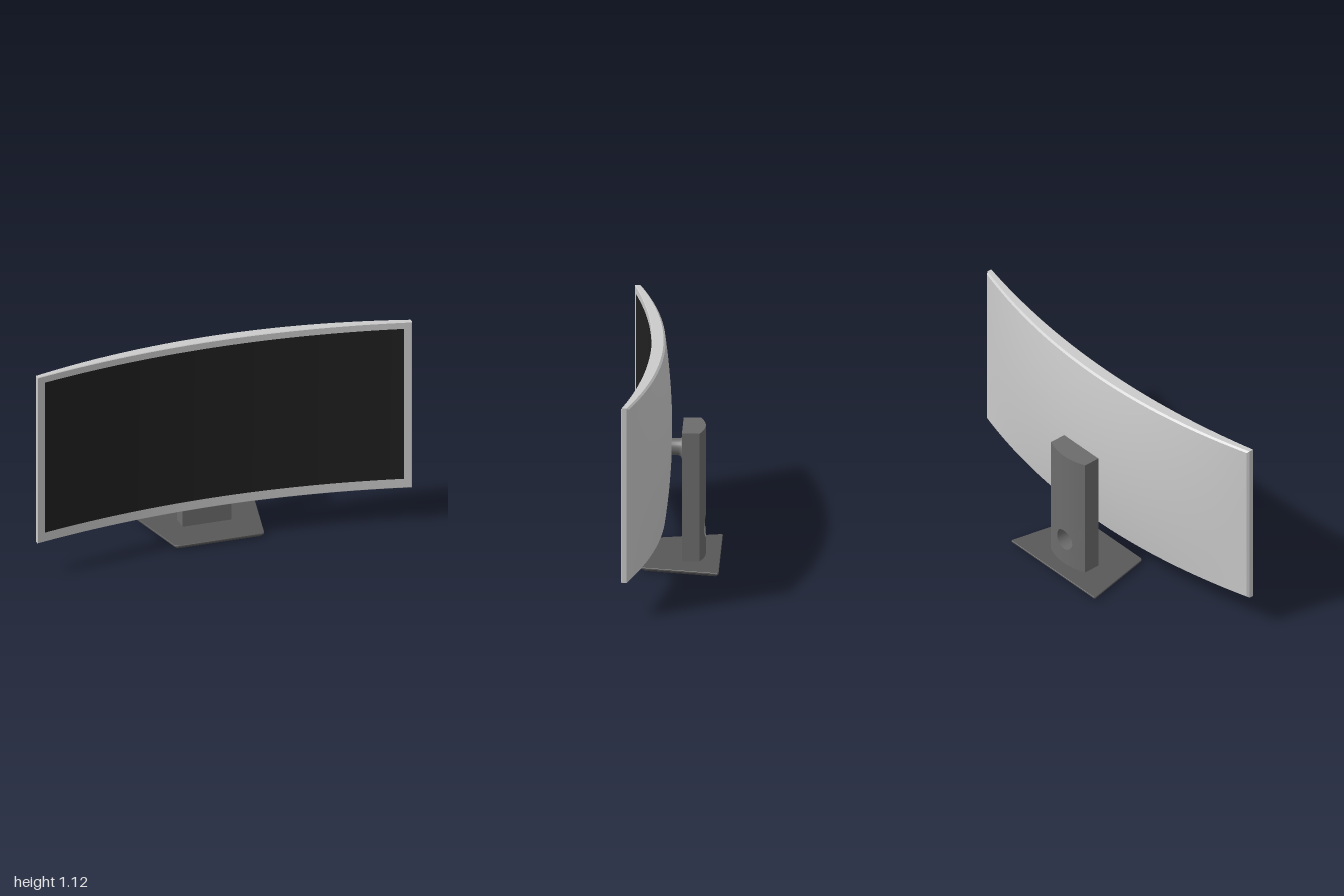
import * as THREE from 'three';
import { toCreasedNormals } from 'three/addons/utils/BufferGeometryUtils.js';

const grey = new THREE.MeshStandardMaterial({ color: 0xcccccc });
const black = new THREE.MeshStandardMaterial({ color: 0x202020 });
const columnGrey = new THREE.MeshStandardMaterial({ color: 0x6c6c6c });
const baseGrey = new THREE.MeshStandardMaterial({ color: 0x585858 });

const MID = 0.652, HALF = 0.463; // centre height and half height of the display

// Curved front and bulging back of the display
const frontZ = (x) => 0.115 + 0.118 * x * x;
const backZ = (x, y) => {
  const v = (y - MID) / HALF;
  return 0.046 + 0.151 * x * x - 0.035 * (1 - x * x) * (1 - v * v);
};

function part(name, geometry, material) {
  const mesh = new THREE.Mesh(geometry, material);
  mesh.name = name;
  return mesh;
}

// Skin over a list of closed rings that all have the same number of points
function loft(rings, crease = 0.5) {
  const n = rings[0].length, index = [];
  for (let i = 0; i < rings.length - 1; i++) {
    for (let j = 0; j < n; j++) {
      const k = (j + 1) % n;
      const a = i * n + j, b = i * n + k, c = a + n, d = b + n;
      index.push(a, b, d, a, d, c);
    }
  }
  const g = new THREE.BufferGeometry();
  g.setAttribute('position', new THREE.Float32BufferAttribute(rings.flat(2), 3));
  g.setIndex(index);
  return toCreasedNormals(g, crease);
}

// Housing: a box bent to the curve, with a small chamfer at front and back
function housing() {
  const g = new THREE.BoxGeometry(2, 2 * HALF, 3, 48, 20, 3);
  const p = g.attributes.position;
  const inset = [0.009, 0, 0, 0.003];
  for (let i = 0; i < p.count; i++) {
    const level = Math.round(p.getZ(i) + 1.5);
    const x = p.getX(i) * (1 - inset[level]);
    const y = MID + p.getY(i) * (1 - inset[level] / HALF);
    const z = [backZ(x, y), backZ(x, y) + 0.009, frontZ(x) - 0.003, frontZ(x)][level];
    p.setXYZ(i, x, y, z);
  }
  return toCreasedNormals(g, 0.5);
}

// Screen: a sheet bent just in front of the housing
function screen() {
  const g = new THREE.PlaneGeometry(1.916, 0.838, 48, 1);
  const p = g.attributes.position;
  for (let i = 0; i < p.count; i++) {
    p.setXYZ(i, p.getX(i), p.getY(i) + 0.66, frontZ(p.getX(i)) + 0.002);
  }
  g.computeVertexNormals();
  return g;
}

// Column: flat front, rounded back and a round cable hole right through
function column() {
  const W = 0.13, HOLE_Y = 0.17, R = 0.057, BOTTOM = 0.02, TOP = 0.7, N = 64;
  const back = (x) => -0.16 + 0.028 * (x / W) ** 2;
  const front = () => -0.044;
  // t: 0 = hole edge, 1 = square around it; stretched = full outline
  const ring = (t, zAt, stretched = false) =>
    Array.from({ length: N }, (_, j) => {
      const a = (j / N) * Math.PI * 2, c = Math.cos(a), s = Math.sin(a);
      const k = W / Math.max(Math.abs(c), Math.abs(s));
      const r = R + (k - R) * t;
      const x = c * r;
      let y = s * r;
      if (stretched) y *= (y > 0 ? TOP - HOLE_Y : HOLE_Y - BOTTOM) / W;
      return [x, HOLE_Y + y, zAt(x)];
    });
  return loft([
    ring(1, back, true), ring(1, front, true),
    ring(1, front), ring(0, front),
    ring(0, back), ring(0.5, back), ring(1, back), ring(1, back, true),
  ]);
}

// Neck: a round arm that flares where it meets the column
function neck() {
  const rows = [ // z, radius x, lowest y, highest y
    [-0.05, 0.062, 0.508, 0.643], [-0.042, 0.055, 0.522, 0.637],
    [-0.035, 0.048, 0.537, 0.633], [-0.025, 0.043, 0.544, 0.631], [0.03, 0.043, 0.545, 0.631],
  ];
  return loft(rows.map(([z, rx, lo, hi]) =>
    Array.from({ length: 32 }, (_, j) => {
      const a = (j / 32) * Math.PI * 2;
      return [rx * Math.cos(a), (lo + hi) / 2 + ((hi - lo) / 2) * Math.sin(a), z];
    })), 0.9);
}

// Base: thin trapezoid plate, wider at the back, with an undercut rim
function base() {
  const right = [[0.226, 0.16], [0.235, 0.155], [0.24, 0.145], [0.319, -0.229], [0.315, -0.235]];
  const outline = [...right, ...right.map(([x, z]) => [-x, z]).reverse()];
  const ring = (inset, y) => outline.map(([x, z]) => [
    x * (1 - inset / 0.28), -0.037 + (z + 0.037) * (1 - inset / 0.198), y,
  ]).map(([x, z, h]) => [x, h, z]);
  const centre = (y) => outline.map(() => [0, y, -0.037]);
  return loft([
    centre(0), ring(0.018, 0), ring(0.012, 0.002), ring(0, 0.014),
    ring(0, 0.02), ring(0.002, 0.022), centre(0.022),
  ], 0.4);
}

export function createModel() {
  const model = new THREE.Group();
  model.name = 'curvedMonitor';

  const display = new THREE.Group();
  display.name = 'display';
  display.add(part('housing', housing(), grey), part('screen', screen(), black));

  const stand = new THREE.Group();
  stand.name = 'stand';
  stand.add(
    part('column', column(), columnGrey),
    part('neck', neck(), columnGrey),
    part('base', base(), baseGrey),
  );

  model.add(display, stand);
  return model;
}
